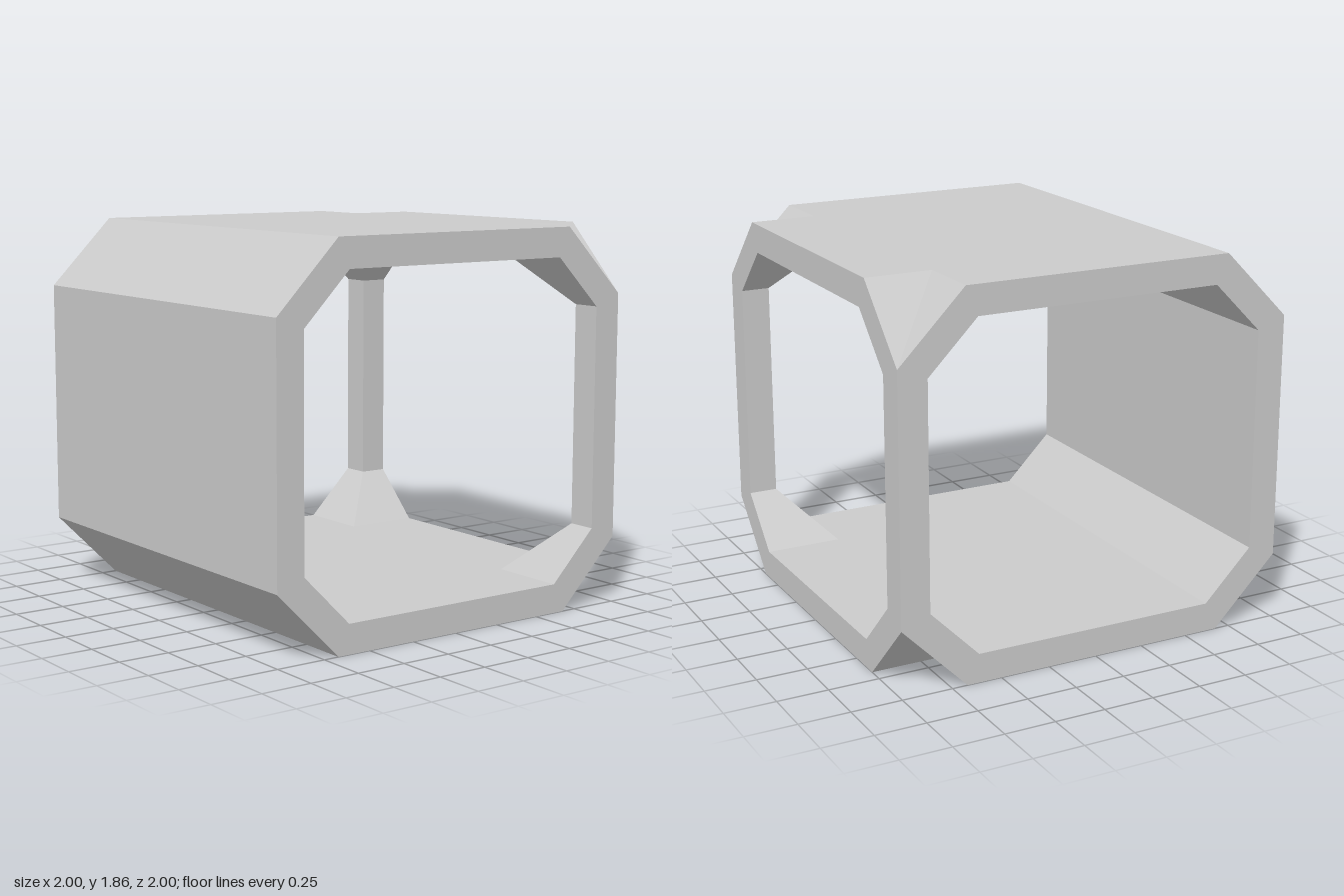
import * as THREE from 'three';

// Three-way octagonal tunnel: a passage along x joined by a branch opening at the back.
// Heights are measured from the mid plane; the model is mirrored in x and y.
const MID = 0.93;
const OUT = { a: 1, c: 0.673, H: 0.93, h: 0.6 };         // outer half width, flat half width, height, chamfer height
const INN = { a: 0.857, c: 0.614, H: 0.788, h: 0.543 };  // same for the hollow

const material = new THREE.MeshStandardMaterial({ color: 0xcccccc, flatShading: true });

// Fans each polygon from its first corner and repeats it in all four mirrored quarters.
function mirroredMesh(name, polygons) {
  const pos = [];
  for (const sx of [1, -1]) for (const sy of [1, -1]) {
    for (const p of polygons) {
      for (let i = 1; i < p.length - 1; i++) {
        const tri = sx * sy > 0 ? [p[0], p[i], p[i + 1]] : [p[0], p[i + 1], p[i]];
        for (const [x, y, z] of tri) pos.push(x * sx, MID + y * sy, z);
      }
    }
  }
  const geo = new THREE.BufferGeometry();
  geo.setAttribute('position', new THREE.Float32BufferAttribute(pos, 3));
  geo.computeVertexNormals();
  const mesh = new THREE.Mesh(geo, material);
  mesh.name = name;
  return mesh;
}

// Roof (and floor) panel, front chamfer and front wall of one skin, facing outward.
function skin({ a, c, H, h }) {
  return [
    [[c, H, -c], [c, H, -1], [0, H, -1], [0, H, c], [1, H, c], [1, H, -c]],
    [[0, H, c], [0, h, a], [1, h, a], [1, H, c]],
    [[0, h, a], [0, 0, a], [1, 0, a], [1, h, a]],
  ];
}

// Quads joining an outer profile to an inner one.
function ring(outer, inner) {
  return outer.slice(1).map((o, i) => [outer[i], inner[i], inner[i + 1], o]);
}

const sideProfile = ({ a, c, H, h }) =>
  [[0, a], [h, a], [H, c], [H, -c], [h, -a], [0, -a]].map(([y, z]) => [1, y, z]);
const backProfile = ({ a, c, H, h }) =>
  [[a, 0], [a, h], [c, H], [0, H]].map(([x, y]) => [x, y, -1]);

export function createModel() {
  const group = new THREE.Group();
  group.name = 'tunnelJunction';

  const { c, H, h } = OUT;
  const { a: ai, c: ci, H: Hi, h: hi } = INN;

  // Outer shell
  group.add(mirroredMesh('outerShell', skin(OUT)));

  // Valleys where the two outer chamfers meet at the back corners
  group.add(mirroredMesh('outerCornerValleys', [
    [[c, H, -c], [1, H, -c], [1, h, -1]],
    [[c, H, -c], [1, h, -1], [c, H, -1]],
  ]));

  // Inner lining, turned to face the hollow
  group.add(mirroredMesh('innerLining', skin(INN).map((p) => [p[0], ...p.slice(1).reverse()])));

  // Inner chamfers at the back corners
  group.add(mirroredMesh('innerCornerChamfers', [
    [[1, Hi, -ci], [ci, Hi, -ci], [ai, hi, -ai], [1, hi, -ai]],
    [[ci, Hi, -ci], [ci, Hi, -1], [ai, hi, -1], [ai, hi, -ai]],
  ]));

  // Inner faces of the back corner posts
  group.add(mirroredMesh('cornerPosts', [
    [[1, hi, -ai], [ai, hi, -ai], [ai, 0, -ai], [1, 0, -ai]],
    [[ai, hi, -ai], [ai, hi, -1], [ai, 0, -1], [ai, 0, -ai]],
  ]));

  // Octagonal rims of the openings
  group.add(mirroredMesh('sideRims', ring(sideProfile(OUT), sideProfile(INN))));
  group.add(mirroredMesh('backRim', ring(backProfile(OUT), backProfile(INN))));

  return group;
}
